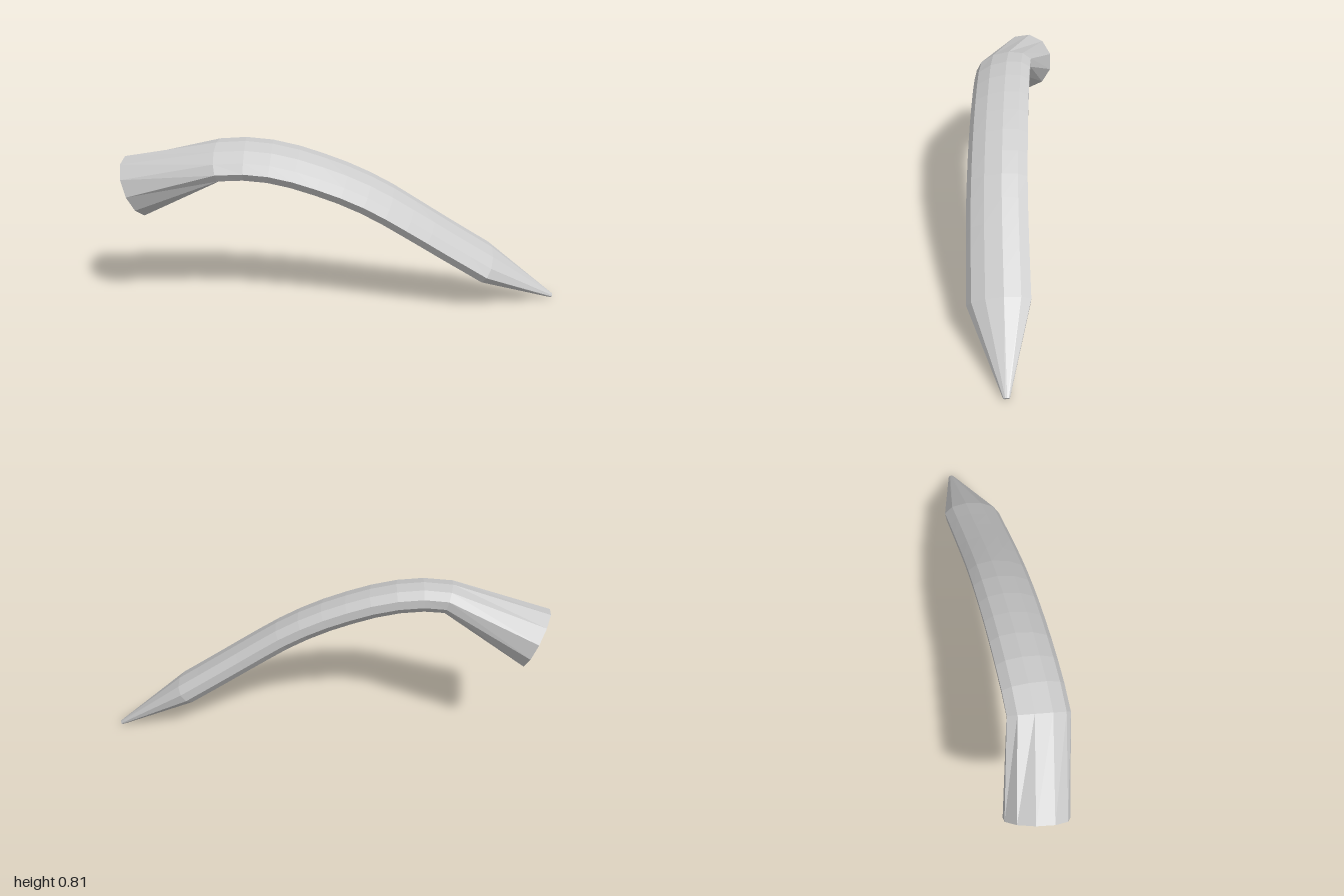
import * as THREE from 'three';

const SIDES = 11;
const V = (x, y, z) => new THREE.Vector3(x, y, z);

// One ring across the tangent: half width, half thickness, roll (shear) and phase.
function ring(center, tangent, { width, thick, roll = 0, phase = 0 }) {
  const t = tangent.clone().normalize();
  const side = t.clone().cross(V(0, 1, 0)).normalize();
  const up = side.clone().cross(t);
  const points = [];
  for (let j = 0; j < SIDES; j++) {
    const a = phase + (j / SIDES) * Math.PI * 2;
    const s = width * Math.cos(a);
    points.push(center.clone()
      .addScaledVector(side, s)
      .addScaledVector(up, thick * Math.sin(a) + roll * s));
  }
  return points;
}

// Skin a row of rings, closing the last one.
function loft(rings) {
  const positions = rings.flat().flatMap((p) => p.toArray());
  const index = [];
  for (let i = 0; i < rings.length - 1; i++) {
    for (let j = 0; j < SIDES; j++) {
      const k = (j + 1) % SIDES;
      const a = i * SIDES + j, b = a + SIDES, c = i * SIDES + k, d = c + SIDES;
      index.push(a, b, c, b, d, c);
    }
  }
  const last = (rings.length - 1) * SIDES;
  for (let j = 1; j < SIDES - 1; j++) index.push(last, last + j + 1, last + j);
  const geometry = new THREE.BufferGeometry();
  geometry.setAttribute('position', new THREE.Float32BufferAttribute(positions, 3));
  geometry.setIndex(index);
  geometry.computeVertexNormals();
  return geometry;
}

export function createModel() {
  const group = new THREE.Group();
  group.name = 'curvedHorn';

  // Centre line of the curved, flattened body
  const path = new THREE.CatmullRomCurve3([
    V(-0.56, 0.728, 0.025), V(-0.45, 0.733, 0.037), V(-0.3, 0.713, 0.05),
    V(-0.15, 0.667, 0.063), V(0, 0.608, 0.074), V(0.14, 0.537, 0.083),
    V(0.27, 0.455, 0.09), V(0.455, 0.333, 0.095), V(0.645, 0.21, 0.098),
  ]);
  const base = V(-0.945, 0.58, -0.105);
  const tip = V(0.992, 0.0095, 0.083);
  const body = { width: 0.138, thick: 0.072, roll: -0.22 };

  // Round open base
  const rings = [ring(base, V(1, 0.38, 0.3), { width: 0.142, thick: 0.143, phase: -0.08 })];

  // Body, with a mitred bend at its first ring
  const STEPS = 12;
  for (let i = 0; i <= STEPS; i++) {
    const u = i / STEPS;
    const tangent = i === 0 ? V(1, 0.24, 0.23) : path.getTangentAt(u);
    rings.push(ring(path.getPointAt(u), tangent, body));
  }

  // Taper to a tiny blunt tip
  rings.push(ring(tip, V(1, -0.57, -0.04), { width: 0.014, thick: 0.01, roll: -0.1 }));

  const material = new THREE.MeshStandardMaterial({
    color: 0xcccccc, flatShading: true, side: THREE.DoubleSide,
  });
  const horn = new THREE.Mesh(loft(rings), material);
  horn.name = 'hornShell';
  group.add(horn);
  return group;
}
